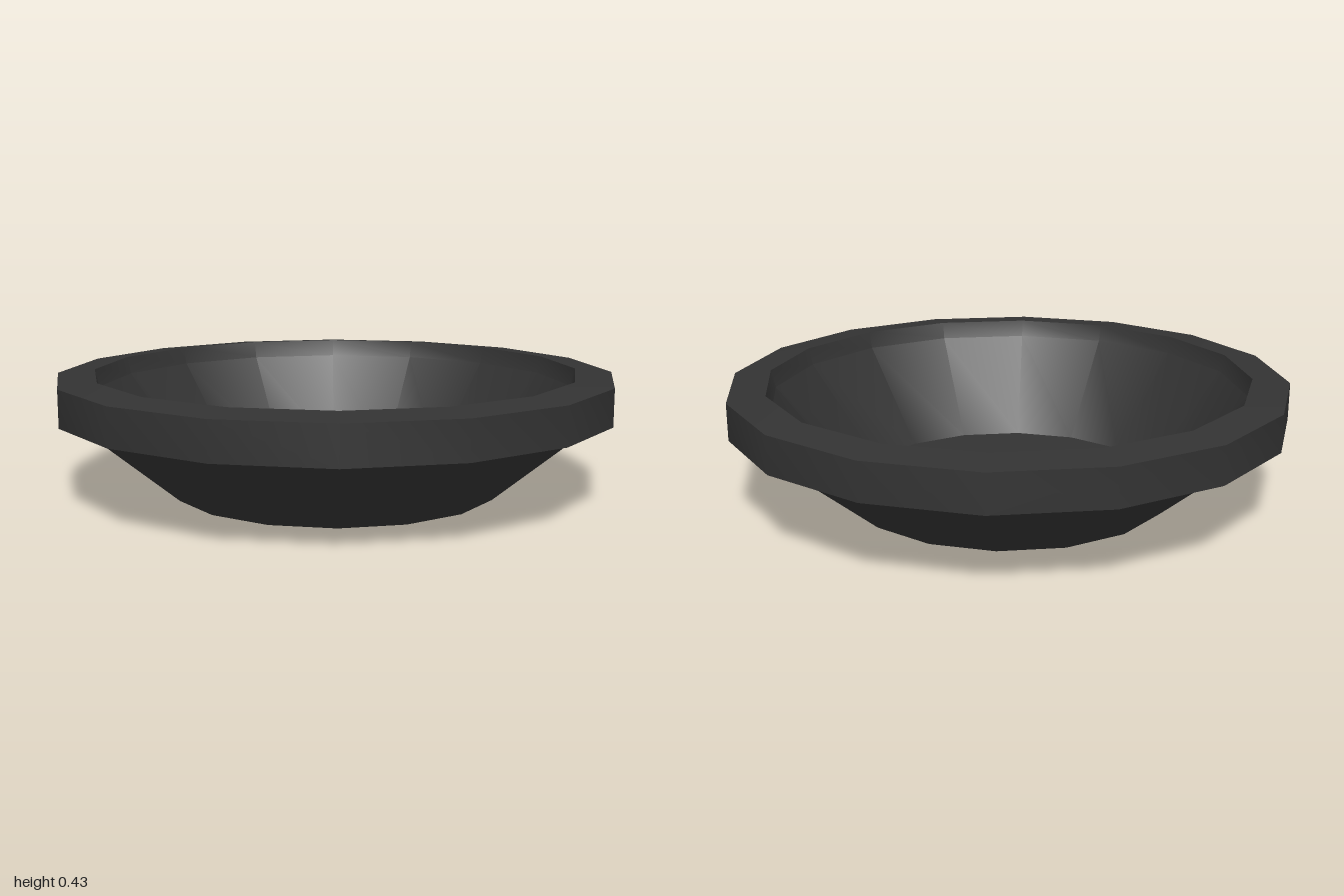
import * as THREE from 'three';
import { toCreasedNormals } from 'three/addons/utils/BufferGeometryUtils.js';

const SIDES = 16;

// Revolves [radius, height] pairs, keeping the sharp profile edges crisp
function turned(name, profile, material) {
  const points = profile.map(([r, y]) => new THREE.Vector2(r, y));
  const geometry = toCreasedNormals(new THREE.LatheGeometry(points, SIDES), 0.48);
  const mesh = new THREE.Mesh(geometry, material);
  mesh.name = name;
  return mesh;
}

// Flat disc closing the bowl, facing up or down
function disc(name, radius, y, up, material) {
  const geometry = new THREE.CircleGeometry(radius, SIDES);
  geometry.rotateX(up ? -Math.PI / 2 : Math.PI / 2);
  const mesh = new THREE.Mesh(geometry, material);
  mesh.name = name;
  mesh.position.y = y;
  return mesh;
}

export function createModel() {
  const group = new THREE.Group();
  group.name = 'bowl';
  const dark = new THREE.MeshStandardMaterial({ color: 0x333333 });

  // Sloping wall, thick rim band and hollow inside as one turned shell
  group.add(turned('bowlShell', [
    [0.59, 0],
    [0.92, 0.275],
    [1, 0.288],
    [1, 0.42],
    [0.867, 0.433],
    [0.852, 0.37],
    [0.575, 0.025],
  ], dark));

  // Base and inner floor
  group.add(disc('base', 0.59, 0, false, dark));
  group.add(disc('innerFloor', 0.575, 0.025, true, dark));

  return group;
}
